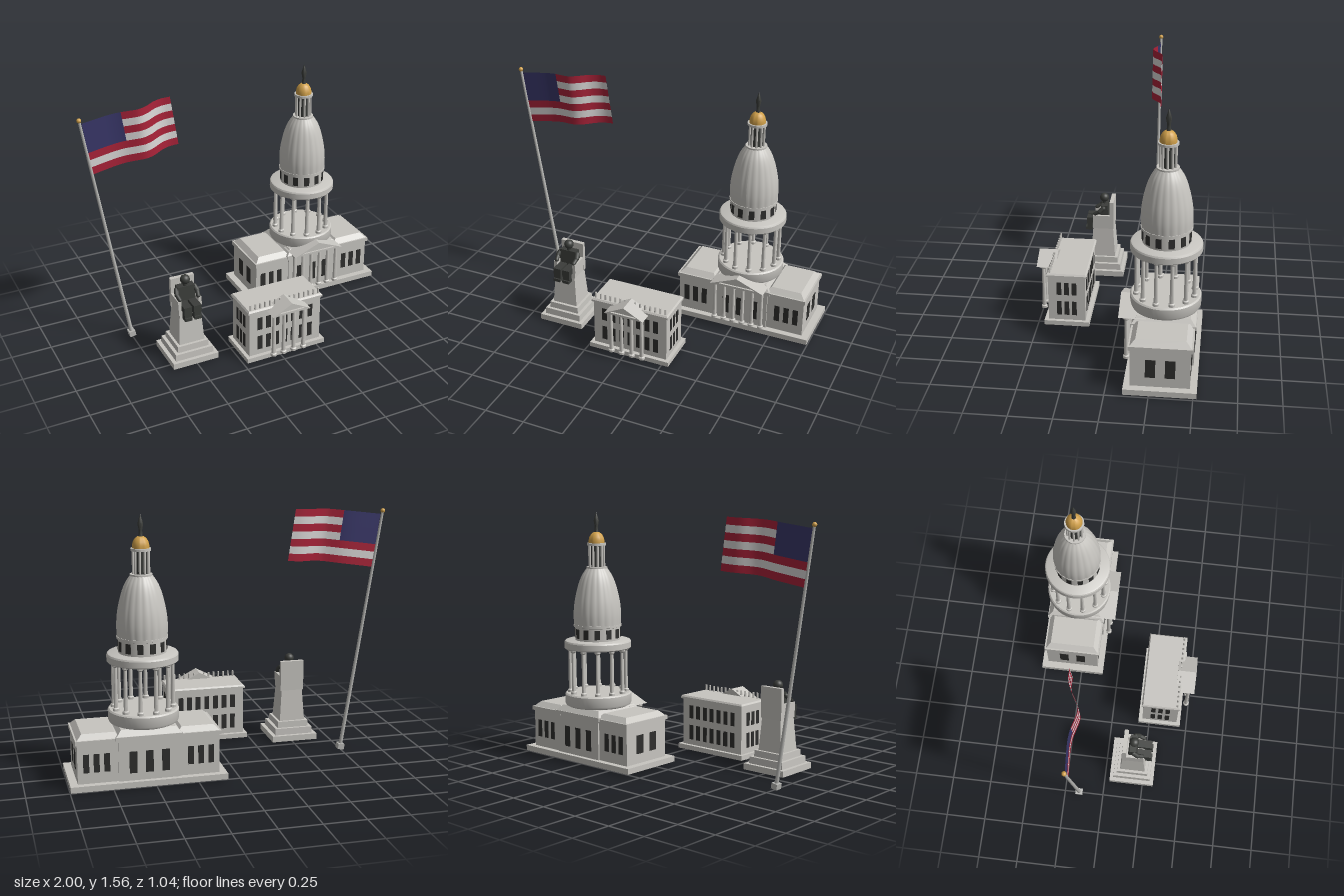
import * as THREE from 'three';
import { toCreasedNormals } from 'three/addons/utils/BufferGeometryUtils.js';

const mat = (name, color, side = THREE.FrontSide) => {
  const m = new THREE.MeshStandardMaterial({ color, side });
  m.name = name;
  return m;
};
const stone = mat('stone', 0xc7c5c0);
const glass = mat('windowDark', 0x2e2e2d);
const bronze = mat('bronze', 0x3b3d3a);
const gold = mat('gold', 0xd0a04a);
const steel = mat('steel', 0xb8b8b5);
const red = mat('flagRed', 0xa82238, THREE.DoubleSide);
const white = mat('flagWhite', 0xd8d6d5, THREE.DoubleSide);
const blue = mat('flagBlue', 0x383668, THREE.DoubleSide);

function add(parent, name, geo, material, x = 0, y = 0, z = 0) {
  const m = new THREE.Mesh(geo, material);
  m.name = name;
  m.position.set(x, y, z);
  parent.add(m);
  return m;
}

function group(parent, name, x = 0, y = 0, z = 0) {
  const g = new THREE.Group();
  g.name = name;
  g.position.set(x, y, z);
  parent.add(g);
  return g;
}

// Box standing between y0 and y1; its top may be inset on x and z
function block(parent, name, w, d, y0, y1, x = 0, z = 0, inset = 0, material = stone) {
  const geo = new THREE.BoxGeometry(w, y1 - y0, d);
  const p = geo.attributes.position;
  for (let i = 0; i < p.count; i++) {
    if (p.getY(i) > 0) {
      p.setX(i, p.getX(i) - Math.sign(p.getX(i)) * inset);
      p.setZ(i, p.getZ(i) - Math.sign(p.getZ(i)) * inset);
    }
  }
  geo.computeVertexNormals();
  return add(parent, name, geo, material, x, (y0 + y1) / 2, z);
}

function turned(parent, name, points, material, segments = 48, crease = 0.6) {
  const geo = new THREE.LatheGeometry(points.map(([r, y]) => new THREE.Vector2(r, y)), segments);
  return add(parent, name, toCreasedNormals(geo, crease), material);
}

// Round column with a wider foot and head
function column(parent, name, x, z, y0, y1, r) {
  const c = turned(parent, name, [[0, y0], [r * 1.6, y0], [r * 1.6, y0 + 0.014], [r * 1.05, y0 + 0.02],
    [r * 0.85, y1 - 0.02], [r * 1.5, y1 - 0.012], [r * 1.5, y1], [0, y1]], stone, 12);
  c.position.set(x, 0, z);
}

// Thin dark plates on a wall facing z (or x)
function windowZ(parent, x, y0, y1, z, w) {
  block(parent, 'window', w, 0.004, y0, y1, x, z, 0, glass);
}
function windowX(parent, x, y0, y1, z, w) {
  block(parent, 'window', 0.004, w, y0, y1, x, z, 0, glass);
}

// Gable prism with a recessed triangular panel
function pediment(parent, half, y0, y1, zBack, zFront) {
  const outline = (s, h0, h1) => [[-half * s, h0], [half * s, h0], [0, h1]].map(p => new THREE.Vector2(...p));
  const rim = new THREE.Shape(outline(1, y0, y1));
  rim.holes.push(new THREE.Path(outline(0.7, y0 + 0.014, y1 - 0.012)));
  add(parent, 'pedimentRim', new THREE.ExtrudeGeometry(rim, { depth: 0.012, bevelEnabled: false }), stone, 0, 0, zFront - 0.012);
  add(parent, 'pediment', new THREE.ExtrudeGeometry(new THREE.Shape(outline(1, y0, y1)),
    { depth: zFront - 0.012 - zBack, bevelEnabled: false }), stone, 0, 0, zBack);
}

function domedHall(root) {
  const g = group(root, 'domedHall', 0.538, 0, -0.312);
  block(g, 'plinth', 0.92, 0.417, 0.01, 0.045);
  for (const s of [-1, 1]) {
    block(g, 'wing', 0.27, 0.34, 0.045, 0.28, s * 0.28);
    block(g, 'wingCornice', 0.27, 0.365, 0.28, 0.305, s * 0.29);
    block(g, 'wingRoof', 0.25, 0.345, 0.305, 0.335, s * 0.29, 0, 0.03);
    for (const dx of [0.245, 0.305, 0.365])
      for (const f of [-1, 1]) windowZ(g, s * dx, 0.11, 0.22, f * 0.17, 0.034);
    for (const z of [-0.056, 0.056]) windowX(g, s * 0.415, 0.105, 0.22, z, 0.058);
  }
  block(g, 'centerHall', 0.36, 0.36, 0.045, 0.29);
  block(g, 'centerCornice', 0.39, 0.378, 0.29, 0.312);
  block(g, 'centerRoof', 0.38, 0.37, 0.312, 0.346, 0, 0, 0.03);
  for (const x of [-0.095, 0, 0.095])
    for (const f of [-1, 1]) windowZ(g, x, 0.09, 0.22, f * 0.18, 0.045);

  // Portico
  pediment(g, 0.175, 0.335, 0.407, 0.1, 0.262);
  for (let i = 0; i < 6; i++) column(g, 'porticoColumn', -0.155 + i * 0.062, 0.216, 0.06, 0.335, 0.012);

  // Colonnade between two drum rings, one eased below and one eased above
  const tower = group(g, 'tower', 0, 0, 0.001);
  turned(tower, 'lowerRing', [[0, 0.345], [0.188, 0.345], [0.202, 0.352], [0.208, 0.364],
    [0.208, 0.42], [0.2, 0.428], [0, 0.428]], stone, 48, 0.5);
  turned(tower, 'upperRing', [[0, 0.707], [0.204, 0.707], [0.209, 0.713], [0.209, 0.748],
    [0.204, 0.757], [0.196, 0.761], [0, 0.761]], stone, 48, 0.5);
  for (let i = 0; i < 12; i++) {
    const a = (i + 0.5) * Math.PI / 6;
    column(tower, 'colonnadeColumn', Math.sin(a) * 0.174, Math.cos(a) * 0.174, 0.428, 0.707, 0.012);
    const w = add(tower, 'drumWindow', new THREE.BoxGeometry(0.034, 0.058, 0.008), glass,
      Math.sin(a) * 0.1385, 0.803, Math.cos(a) * 0.1385);
    w.rotation.y = a;
  }
  turned(tower, 'drum', [[0, 0.761], [0.14, 0.761], [0.14, 0.841], [0.149, 0.844], [0.149, 0.858], [0, 0.858]], stone);

  // Dome with shallow ribs
  const profile = new THREE.SplineCurve([[0.147, 0.858], [0.149, 0.925], [0.141, 1.005], [0.12, 1.096],
    [0.095, 1.161], [0.062, 1.211]].map(p => new THREE.Vector2(...p))).getPoints(20);
  const dome = new THREE.LatheGeometry(profile, 120);
  const p = dome.attributes.position;
  for (let i = 0; i < p.count; i++) {
    const a = Math.atan2(p.getX(i), p.getZ(i));
    const k = 1 - 0.02 * (1 - Math.abs(Math.cos(a * 10)));
    p.setX(i, p.getX(i) * k);
    p.setZ(i, p.getZ(i) * k);
  }
  dome.computeVertexNormals();
  add(tower, 'dome', dome, stone);

  // Lantern, gilded cap and spire
  turned(tower, 'lanternFloor', [[0, 1.201], [0.065, 1.201], [0.065, 1.216], [0, 1.216]], stone);
  turned(tower, 'lanternCore', [[0.038, 1.216], [0.038, 1.35]], bronze, 24);
  for (let i = 0; i < 10; i++) {
    const a = (i + 0.5) * Math.PI / 5;
    add(tower, 'lanternPost', new THREE.CylinderGeometry(0.007, 0.007, 0.134, 8), stone,
      Math.sin(a) * 0.046, 1.283, Math.cos(a) * 0.046);
  }
  turned(tower, 'lanternRoof', [[0, 1.348], [0.059, 1.348], [0.059, 1.363], [0, 1.363]], stone);
  turned(tower, 'gildedCap', [[0.049, 1.363], [0.049, 1.38], [0.044, 1.4], [0.033, 1.418], [0.018, 1.429], [0, 1.432]], gold, 32, 1);
  turned(tower, 'spire', [[0.014, 1.425], [0.011, 1.445], [0.01, 1.465], [0.017, 1.5], [0.007, 1.535], [0, 1.557]], bronze, 12, 1);
}

function columnedHouse(root) {
  const g = group(root, 'columnedHouse', 0.034, 0, 0.317);
  block(g, 'plinth', 0.53, 0.28, 0.01, 0.04);
  block(g, 'walls', 0.485, 0.23, 0.04, 0.34);
  block(g, 'cornice', 0.505, 0.25, 0.34, 0.352);
  block(g, 'roof', 0.505, 0.25, 0.352, 0.362, 0, 0, 0.008);
  for (const [y0, y1] of [[0.075, 0.17], [0.215, 0.3]]) {
    for (const f of [-1, 1]) {
      for (let i = -3; i <= 3; i++) windowZ(g, i * 0.057, y0, y1, f * 0.115, 0.032);
      for (let i = -1; i <= 1; i++) windowX(g, f * 0.2425, y0, y1, i * 0.047, 0.029);
    }
  }
  for (let i = 0; i < 15; i++)
    add(g, 'baluster', new THREE.CylinderGeometry(0.006, 0.007, 0.04, 8), stone, -0.231 + i * 0.033, 0.378, 0.105);
  pediment(g, 0.127, 0.337, 0.403, 0.085, 0.205);
  for (let i = 0; i < 4; i++) column(g, 'porticoColumn', -0.102 + i * 0.068, 0.166, 0.04, 0.337, 0.012);
}

function seatedStatue(root) {
  const g = group(root, 'seatedStatue', -0.51, 0, 0.176);
  block(g, 'lowerStep', 0.295, 0.288, 0.01, 0.048);
  block(g, 'middleStep', 0.247, 0.243, 0.048, 0.09, 0, 0, 0.002);
  block(g, 'upperStep', 0.202, 0.202, 0.09, 0.13, 0, 0, 0.002);
  block(g, 'pedestal', 0.165, 0.162, 0.13, 0.33, 0, 0, 0.014);
  block(g, 'chairSeat', 0.145, 0.13, 0.33, 0.37, 0, 0.003);
  block(g, 'chairBack', 0.152, 0.026, 0.33, 0.523, 0, -0.057);
  const limb = (name, a, b, r) => {
    const s = new THREE.Vector3(...a), e = new THREE.Vector3(...b);
    const m = add(g, name, new THREE.CapsuleGeometry(r, s.distanceTo(e), 4, 10), bronze);
    m.position.copy(s).add(e).multiplyScalar(0.5);
    m.quaternion.setFromUnitVectors(new THREE.Vector3(0, 1, 0), e.sub(s).normalize());
  };
  for (const s of [-1, 1]) {
    block(g, 'chairArm', 0.022, 0.115, 0.37, 0.425, s * 0.065, 0.01);
    limb('upperArm', [s * 0.058, 0.472, 0], [s * 0.066, 0.45, 0.025], 0.015);
    limb('forearm', [s * 0.066, 0.45, 0.025], [s * 0.06, 0.43, 0.056], 0.013);
    block(g, 'thigh', 0.05, 0.13, 0.362, 0.4, s * 0.031, 0.047, 0, bronze);
    block(g, 'shin', 0.046, 0.032, 0.325, 0.385, s * 0.031, 0.094, 0, bronze);
    block(g, 'foot', 0.046, 0.045, 0.31, 0.33, s * 0.031, 0.097, 0, bronze);
  }
  block(g, 'torso', 0.125, 0.06, 0.37, 0.49, 0, -0.006, 0.008, bronze);
  add(g, 'neck', new THREE.CylinderGeometry(0.014, 0.014, 0.03, 12), bronze, 0, 0.498, -0.002);
  add(g, 'head', new THREE.SphereGeometry(0.03, 20, 14), bronze, 0, 0.529, -0.002);
}

function flagOnPole(root) {
  const g = group(root, 'flagOnPole');
  const foot = new THREE.Vector3(-0.75, 0.02, -0.158), tip = new THREE.Vector3(-0.986, 1.51, -0.158);
  const dir = tip.clone().sub(foot);
  const tilt = Math.atan2(-dir.x, dir.y);
  const base = add(g, 'poleFoot', new THREE.BoxGeometry(0.04, 0.035, 0.045), steel, foot.x, 0.021, foot.z);
  base.rotation.z = tilt;
  const pole = add(g, 'pole', new THREE.CylinderGeometry(0.008, 0.012, dir.length(), 14), steel);
  pole.position.copy(foot).add(tip).multiplyScalar(0.5);
  pole.rotation.z = tilt;
  add(g, 'poleBall', new THREE.SphereGeometry(0.014, 16, 12), gold, tip.x, tip.y, tip.z);

  // Waving cloth: u runs from pole to fly end, v from bottom to top
  const wave = new THREE.SplineCurve([-0.157, -0.16, -0.163, -0.164, -0.158, -0.142, -0.131, -0.15, -0.186, -0.204, -0.203]
    .map((z, i) => new THREE.Vector2(i, z)));
  const cloth = (name, u0, u1, v0, v1, material) => {
    const geo = new THREE.PlaneGeometry(1, 1, 20, 2);
    const p = geo.attributes.position;
    for (let i = 0; i < p.count; i++) {
      const u = u0 + (u1 - u0) * (p.getX(i) + 0.5), v = v0 + (v1 - v0) * (p.getY(i) + 0.5);
      const y = 1.165 + 0.325 * v + u * (0.067 - 0.015 * v) + 0.008 * Math.sin(u * Math.PI);
      p.setXYZ(i, -0.927 - 0.045 * v + u * 0.557, y, wave.getPoint(u).y);
    }
    geo.computeVertexNormals();
    add(g, name, geo, material);
  };
  for (let i = 0; i < 7; i++)
    cloth('stripe', i > 2 ? 0.42 : 0, 1, i / 7, (i + 1) / 7, i % 2 ? white : red);
  cloth('canton', 0, 0.42, 3 / 7, 1, blue);
}

export function createModel() {
  const root = new THREE.Group();
  root.name = 'civicLandmarks';
  domedHall(root);
  columnedHouse(root);
  seatedStatue(root);
  flagOnPole(root);
  return root;
}
